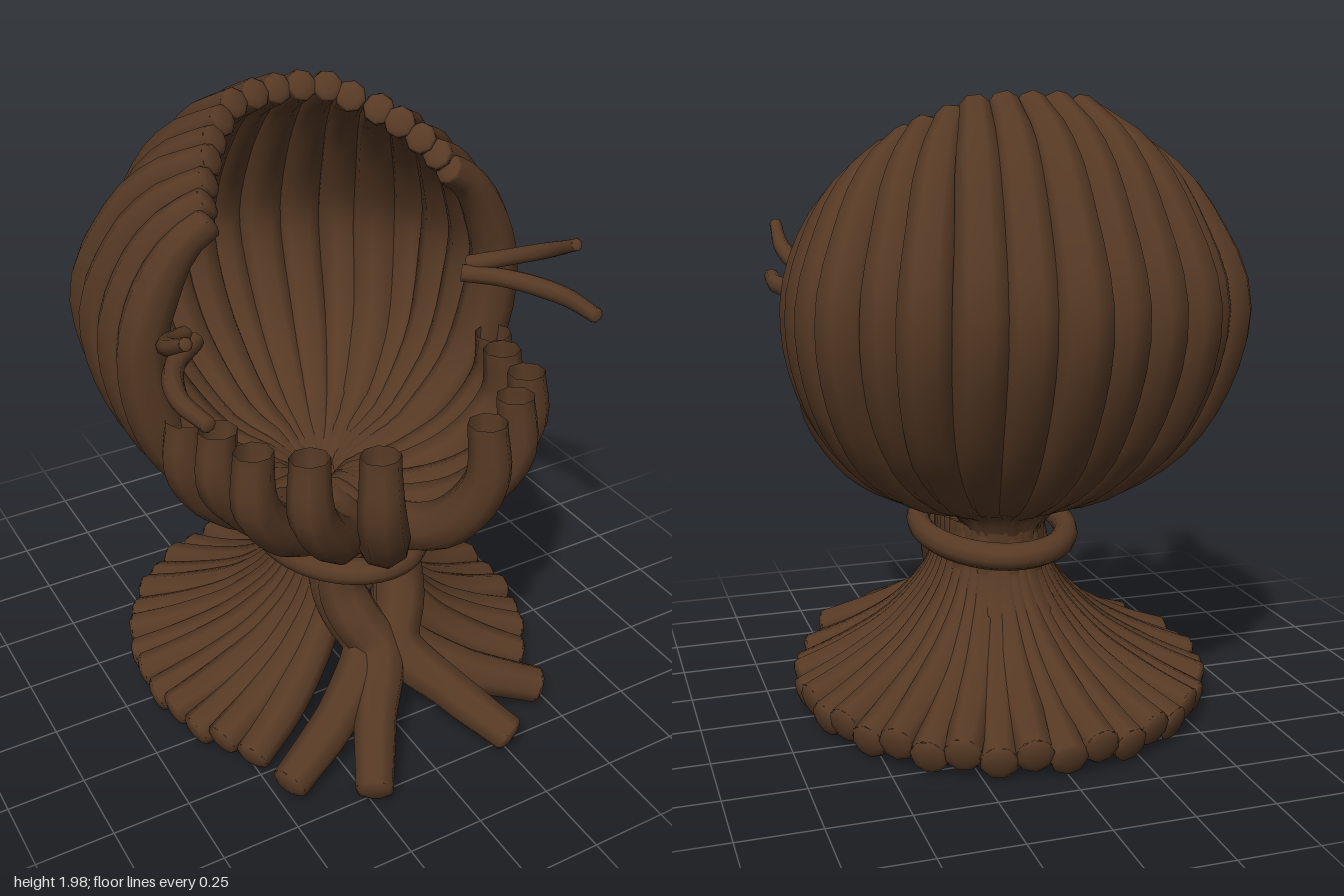
import * as THREE from 'three';
import { mergeGeometries } from 'three/addons/utils/BufferGeometryUtils.js';

const bark = new THREE.MeshStandardMaterial({ color: 0x573a25, side: THREE.DoubleSide });
const V = (x, y, z) => new THREE.Vector3(x, y, z);

// Tapered tube through points; radii are spread evenly along its length
function strand(points, radii, { cap = true, sides = 8, steps = 24 } = {}) {
  const curve = new THREE.CatmullRomCurve3(points, false, 'centripetal');
  const tube = new THREE.TubeGeometry(curve, steps, 1, sides, false);
  const pos = tube.attributes.position;
  const radiusAt = (t) => {
    const f = t * (radii.length - 1);
    const i = Math.min(Math.floor(f), radii.length - 2);
    return THREE.MathUtils.lerp(radii[i], radii[i + 1], THREE.MathUtils.smoothstep(f - i, 0, 1));
  };
  const p = V(0, 0, 0);
  for (let i = 0; i < pos.count; i++) {
    const t = Math.floor(i / (sides + 1)) / steps;
    const c = curve.getPointAt(t);
    p.fromBufferAttribute(pos, i).sub(c).multiplyScalar(radiusAt(t)).add(c);
    pos.setXYZ(i, p.x, p.y, p.z);
  }
  if (!cap) return tube;
  // Low dome over the far end
  const r = radiusAt(1);
  const dome = new THREE.SphereGeometry(r, sides, 3, 0, Math.PI * 2, 0, Math.PI / 2).scale(1, 0.35, 1);
  const turn = new THREE.Quaternion().setFromUnitVectors(V(0, 1, 0), curve.getTangentAt(1));
  const end = curve.getPointAt(1);
  dome.applyQuaternion(turn).translate(end.x, end.y, end.z);
  return mergeGeometries([tube, dome]);
}

export function createModel() {
  const model = new THREE.Group();

  const add = (name, geometry) => {
    const mesh = new THREE.Mesh(geometry, bark);
    mesh.name = name;
    model.add(mesh);
  };
  // Adds a strand on the left and its mirror image on the right
  const addPair = (name, points, radii, options) => {
    add(name + 'Left', strand(points, radii, options));
    add(name + 'Right', strand(points.map((p) => V(-p.x, p.y, p.z)), radii, options));
  };

  // Hooded back shell: widest point [x, z] and upper tip [x, y, z] of each strand
  const shell = [
    [0, -0.74, 0, 1.95, -0.28], [0.13, -0.69, 0.08, 1.95, -0.27],
    [0.26, -0.65, 0.16, 1.94, -0.25], [0.4, -0.58, 0.22, 1.91, -0.21],
    [0.48, -0.47, 0.28, 1.88, -0.14], [0.59, -0.39, 0.32, 1.85, -0.08],
    [0.62, -0.24, 0.36, 1.81, -0.02], [0.625, -0.09, 0.39, 1.77, 0.03],
    [0.62, 0.04, 0.41, 1.73, 0.07],
  ];
  // Share of the widest x and z reached at each height, then progress to the tip
  const lower = [[0.05, 0.05, 0.5], [0.19, 0.17, 0.69], [0.57, 0.49, 0.8], [0.88, 0.81, 1.02], [1, 1, 1.36]];
  const upper = [[0.25, 0.5], [0.62, 0.84], [1, 1]];
  shell.forEach(([ex, ez, tx, ty, tz], i) => {
    const points = [
      ...lower.map(([fx, fz, y]) => V(ex * fx, y, ez * fz)),
      ...upper.map(([f, g]) => V(ex + (tx - ex) * f, 1.36 + (ty - 1.36) * g, ez + (tz - ez) * f)),
    ];
    const radii = [0.05, 0.065, 0.085, 0.09, 0.075, 0.05];
    if (i === 0) add('shellStrandCentre', strand(points, radii));
    else addPair('shellStrand' + i, points, radii);
  });

  // Front bowl: open-ended strands rising to a low rim
  const rim = [[0.18, 1.205, 0.66], [0.35, 1.195, 0.56], [0.47, 1.19, 0.45], [0.5, 1.18, 0.28], [0.55, 1.17, 0.16]];
  rim.forEach(([x, y, z], i) => {
    const side = i / 4;
    const points = [
      V(0.03, 0.56, 0.05),
      V(0.03 + 0.05 * side, 0.68, 0.09 - 0.03 * side),
      V(x * (0.2 + 0.3 * side), 0.735, z * 0.55 + 0.02),
      V(x * (0.6 + 0.2 * side), 0.83, z * 0.88),
      V(x * (1 + 0.01 * side), 1.01, z * 1.02),
      V(x, y, z),
    ];
    addPair('bowlStrand' + i, points, [0.06, 0.075, 0.08, 0.074, 0.06], { cap: false });
  });

  // Pairs of thin curved twigs at the opening
  addPair('lowerTwig', [V(0.47, 1.37, 0.08), V(0.58, 1.365, 0.18), V(0.65, 1.37, 0.36), V(0.645, 1.38, 0.54)],
    [0.03, 0.032, 0.024]);
  addPair('upperTwig', [V(0.5, 1.39, 0.07), V(0.59, 1.43, 0.16), V(0.645, 1.5, 0.3), V(0.645, 1.565, 0.42)],
    [0.03, 0.028, 0.02]);

  // Tilted binding around the waist
  const binding = new THREE.TorusGeometry(1, 0.16, 10, 40);
  binding.rotateX(Math.PI / 2).scale(0.24, 0.27, 0.315);
  binding.rotateX(-0.08).translate(0, 0.575, 0.11);
  add('waistBinding', binding);

  // Neck strands passing through the binding
  for (let i = 0; i < 12; i++) {
    const a = (i / 12) * Math.PI * 2;
    const at = (k, y) => V(Math.sin(a) * 0.12 * k, y, 0.08 + Math.cos(a) * 0.16 * k);
    add('neckStrand' + i, strand([at(1.1, 0.42), at(1, 0.56), at(0.7, 0.68)], [0.055, 0.055, 0.05], { steps: 8 }));
  }

  // Dense flared skirt of roots around the sides and back
  const flare = [[0, 0.62], [0.01, 0.48], [0.12, 0.36], [0.34, 0.235], [0.65, 0.135], [1, 0.066]];
  const count = 15;
  for (let i = 0; i < count; i++) {
    const a = THREE.MathUtils.degToRad(51 + (129 * i) / (count - 1));
    const s = Math.sin(a), c = Math.cos(a);
    const points = flare.map(([f, y]) =>
      V(s * (0.13 + 0.525 * f), y + 0.02 * f * (i % 2), 0.13 - 0.1 * f + c * (0.21 + 0.48 * f)));
    const radii = [0.05, 0.055, 0.062, 0.066, 0.06];
    if (i === count - 1) add('rootBack', strand(points, radii));
    else addPair('root' + i, points, radii);
  }

  // Front roots that pinch together at the middle and then splay
  [[0.25, 0.785], [0.465, 0.635]].forEach(([x, z], i) => {
    const points = [
      V(0.1 + 0.02 * i, 0.62, 0.31 - 0.04 * i),
      V(0.11 + 0.01 * i, 0.5, 0.32 - 0.04 * i),
      V(0.085 + 0.01 * i, 0.4, 0.37 - 0.04 * i),
      V(0.035 + 0.025 * i, 0.29, 0.445 - 0.04 * i),
      V(0.035 + x * 0.42, 0.17, 0.42 + (z - 0.42) * 0.5),
      V(x, 0.075, z),
    ];
    addPair('frontRoot' + i, points, [0.07, 0.085, 0.08, 0.07, 0.062]);
  });

  return model;
}
